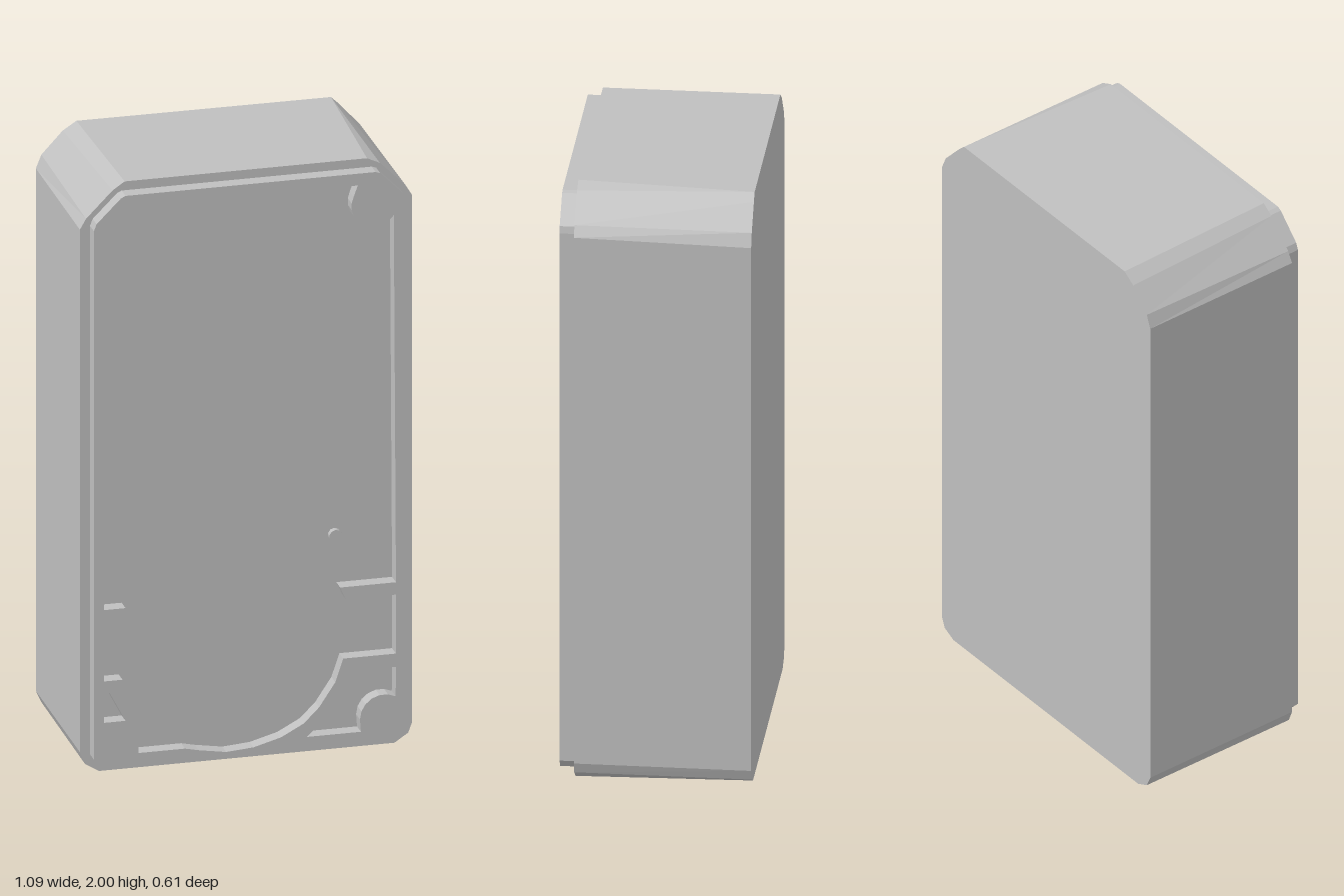
import * as THREE from 'three';

const BACK = -0.307, STEP = 0.258, FRONT = 0.307;

const points = (list) => list.map(([x, y]) => new THREE.Vector2(x, y));

// points on a circular arc, angles in degrees
function arc(cx, cy, r, from, to, n = 10) {
  return Array.from({ length: n + 1 }, (_, i) => {
    const a = THREE.MathUtils.degToRad(from + (to - from) * i / n);
    return [cx + r * Math.cos(a), cy + r * Math.sin(a)];
  });
}

export function createModel() {
  const model = new THREE.Group();
  model.name = 'enclosure';
  const grey = new THREE.MeshStandardMaterial({ color: 0xbfbfbf });
  grey.name = 'grey plastic';

  const add = (name, geometry, z) => {
    const mesh = new THREE.Mesh(geometry, grey);
    mesh.name = name;
    mesh.position.z = z;
    model.add(mesh);
    return mesh;
  };

  // Body: front outline, and the matching back outline it drafts towards
  const frontOutline = [
    [-0.547, 0.07], [-0.53, 0.028], [-0.485, 0], [0.485, 0], [0.53, 0.03], [0.543, 0.065],
    [0.543, 1.86], [0.522, 1.895], [0.437, 1.98], [0.395, 2],
    [-0.4, 2], [-0.44, 1.973], [-0.527, 1.885], [-0.547, 1.85],
  ];
  const backOutline = [
    [-0.543, 0.065], [-0.525, 0.025], [-0.48, 0.004], [0.48, 0.004], [0.525, 0.025], [0.539, 0.06],
    [0.539, 1.845], [0.52, 1.89], [0.45, 1.968], [0.425, 1.992],
    [-0.41, 1.994], [-0.455, 1.965], [-0.525, 1.89], [-0.543, 1.845],
  ];
  const body = new THREE.ExtrudeGeometry(new THREE.Shape(points(frontOutline)),
    { depth: STEP - BACK, bevelEnabled: false });
  const pos = body.attributes.position;
  for (let i = 0; i < pos.count; i++) {
    if (pos.getZ(i) > 0.01) continue;
    const k = frontOutline.findIndex(([x, y]) => Math.hypot(x - pos.getX(i), y - pos.getY(i)) < 1e-4);
    pos.setXY(i, ...backOutline[k]);
  }
  body.computeVertexNormals();
  add('body', body, BACK);

  // Raised rim with its ribs and corner bosses, cut out around the recesses
  const rim = new THREE.Shape(points([
    [-0.514, 0.06], [-0.487, 0.032], [0.485, 0.032], [0.51, 0.06],
    [0.51, 1.86], [0.505, 1.883], [0.425, 1.965], [0.41, 1.97],
    [-0.41, 1.97], [-0.425, 1.963], [-0.505, 1.883], [-0.514, 1.86],
  ]));
  const mainRecess = [
    [-0.362, 1.93], [0.352, 1.93],
    ...arc(0.407, 1.86, 0.076, 155, 326),
    // right rib
    [0.477, 0.566], [0.294, 0.566], [0.313, 0.524], [0.477, 0.524],
    // curved lower edge
    [0.477, 0.323], [0.304, 0.323], [0.278, 0.245], [0.225, 0.165], [0.175, 0.115],
    [0.1, 0.075], [0.01, 0.05], [-0.08, 0.043], [-0.17, 0.058], [-0.215, 0.068],
    [-0.368, 0.068], [-0.362, 0.196], [-0.42, 0.323], [-0.481, 0.323],
    // left rib
    [-0.481, 0.524], [-0.427, 0.524], [-0.41, 0.566], [-0.481, 0.566],
    ...arc(-0.411, 1.86, 0.076, 214, 385),
  ];
  const leftPocket = [[-0.481, 0.27], [-0.463, 0.283], [-0.41, 0.182], [-0.481, 0.182]];
  const rightPocket = [
    [0.477, 0.278], [0.341, 0.278], [0.31, 0.21], [0.255, 0.135], [0.185, 0.068], [0.362, 0.068],
    ...arc(0.437, 0.11, 0.078, 180, 60, 6),
  ];
  for (const hole of [mainRecess, leftPocket, rightPocket]) rim.holes.push(new THREE.Path(points(hole)));
  add('rim', new THREE.ExtrudeGeometry(rim, { depth: FRONT - STEP, bevelEnabled: false }), STEP);

  // Small locating peg on the recess floor
  const peg = add('peg', new THREE.CylinderGeometry(0.022, 0.022, 0.02, 10), STEP + 0.01);
  peg.rotation.x = Math.PI / 2;
  peg.position.set(0.288, 0.73, STEP + 0.01);

  return model;
}
